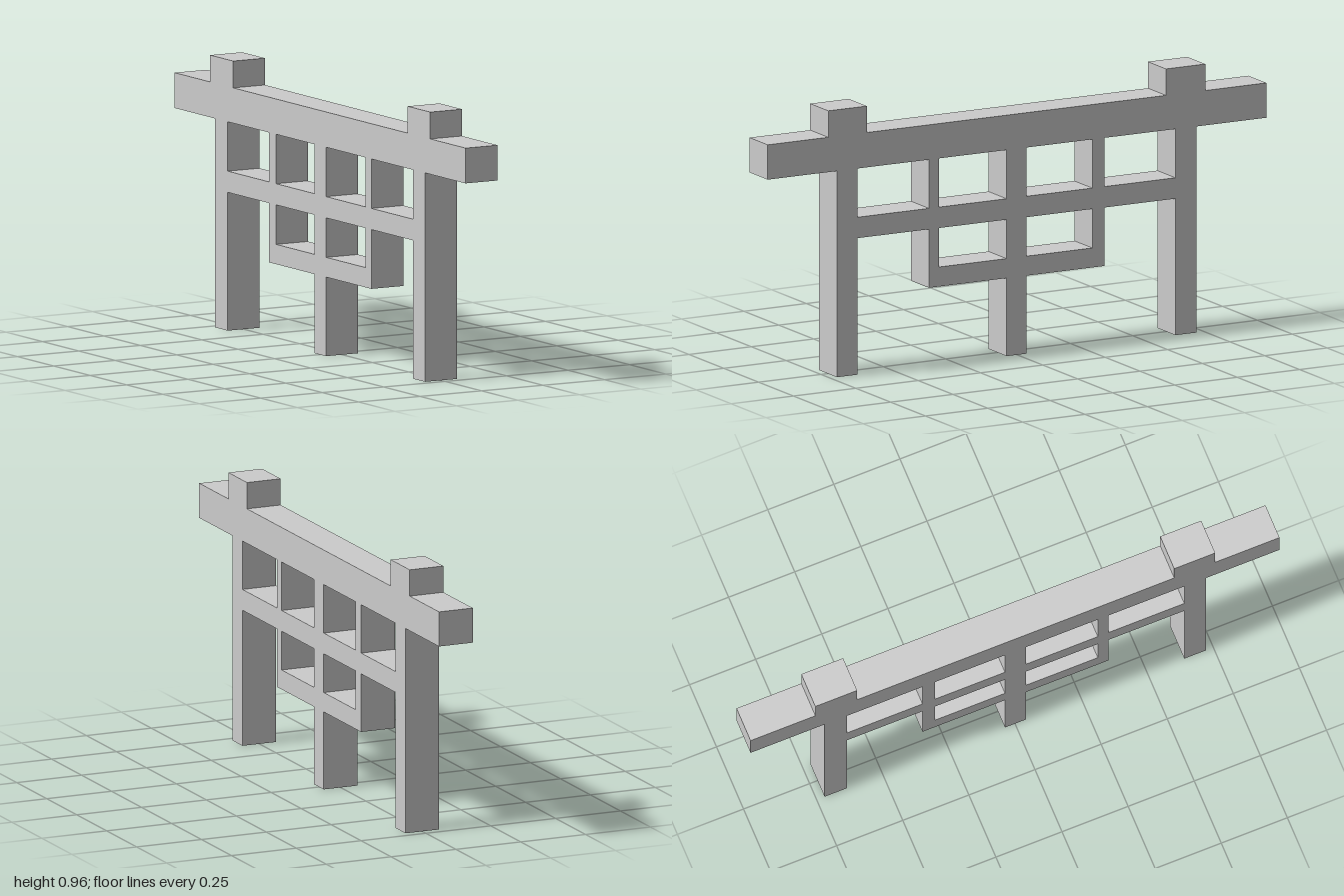
import * as THREE from 'three';

const DEPTH = 0.13;

// Heights of the horizontal members
const TOP = 0.96, BEAM_TOP = 0.865, BEAM_LOW = 0.74;
const RAIL_TOP = 0.565, RAIL_LOW = 0.49;
const SILL_TOP = 0.35, SILL_LOW = 0.28;

const points = (list) => list.map(([z, y]) => new THREE.Vector2(z, y));

// Rectangular opening between two uprights
function opening(z0, z1, y0, y1) {
  return new THREE.Path(points([[z0, y0], [z0, y1], [z1, y1], [z1, y0]]));
}

export function createModel() {
  const group = new THREE.Group();
  group.name = 'gate';

  // Silhouette in (z, y): outer posts, centre post, hanging lattice, beam and caps
  const outline = new THREE.Shape(points([
    // underside, from the -z end to the +z end
    [-1, BEAM_LOW], [-0.72, BEAM_LOW], [-0.72, 0], [-0.635, 0],
    [-0.635, RAIL_LOW], [-0.35, RAIL_LOW], [-0.35, SILL_LOW],
    [-0.038, SILL_LOW], [-0.038, 0], [0.042, 0], [0.042, SILL_LOW],
    [0.353, SILL_LOW], [0.353, RAIL_LOW], [0.64, RAIL_LOW],
    [0.64, 0], [0.722, 0], [0.722, BEAM_LOW], [1, BEAM_LOW],
    // top edge, back to the -z end
    [1, BEAM_TOP], [0.757, BEAM_TOP], [0.757, TOP], [0.602, TOP], [0.602, BEAM_TOP],
    [-0.597, BEAM_TOP], [-0.597, TOP], [-0.755, TOP], [-0.755, BEAM_TOP], [-1, BEAM_TOP],
  ]));

  // Four openings below the beam, two below the middle rail
  for (const [z0, z1] of [[-0.635, -0.35], [-0.302, -0.038], [0.042, 0.313], [0.353, 0.64]]) {
    outline.holes.push(opening(z0, z1, RAIL_TOP, BEAM_LOW));
  }
  for (const [z0, z1] of [[-0.302, -0.038], [0.042, 0.313]]) {
    outline.holes.push(opening(z0, z1, SILL_TOP, RAIL_LOW));
  }

  // Extrude across the thickness, then turn the silhouette to run along z
  const geometry = new THREE.ExtrudeGeometry(outline, { depth: DEPTH, bevelEnabled: false });
  geometry.translate(0, 0, -DEPTH / 2);
  geometry.rotateY(-Math.PI / 2);

  const material = new THREE.MeshStandardMaterial({ color: 0xcccccc, flatShading: true });
  const frame = new THREE.Mesh(geometry, material);
  frame.name = 'gateFrame';
  group.add(frame);
  return group;
}
